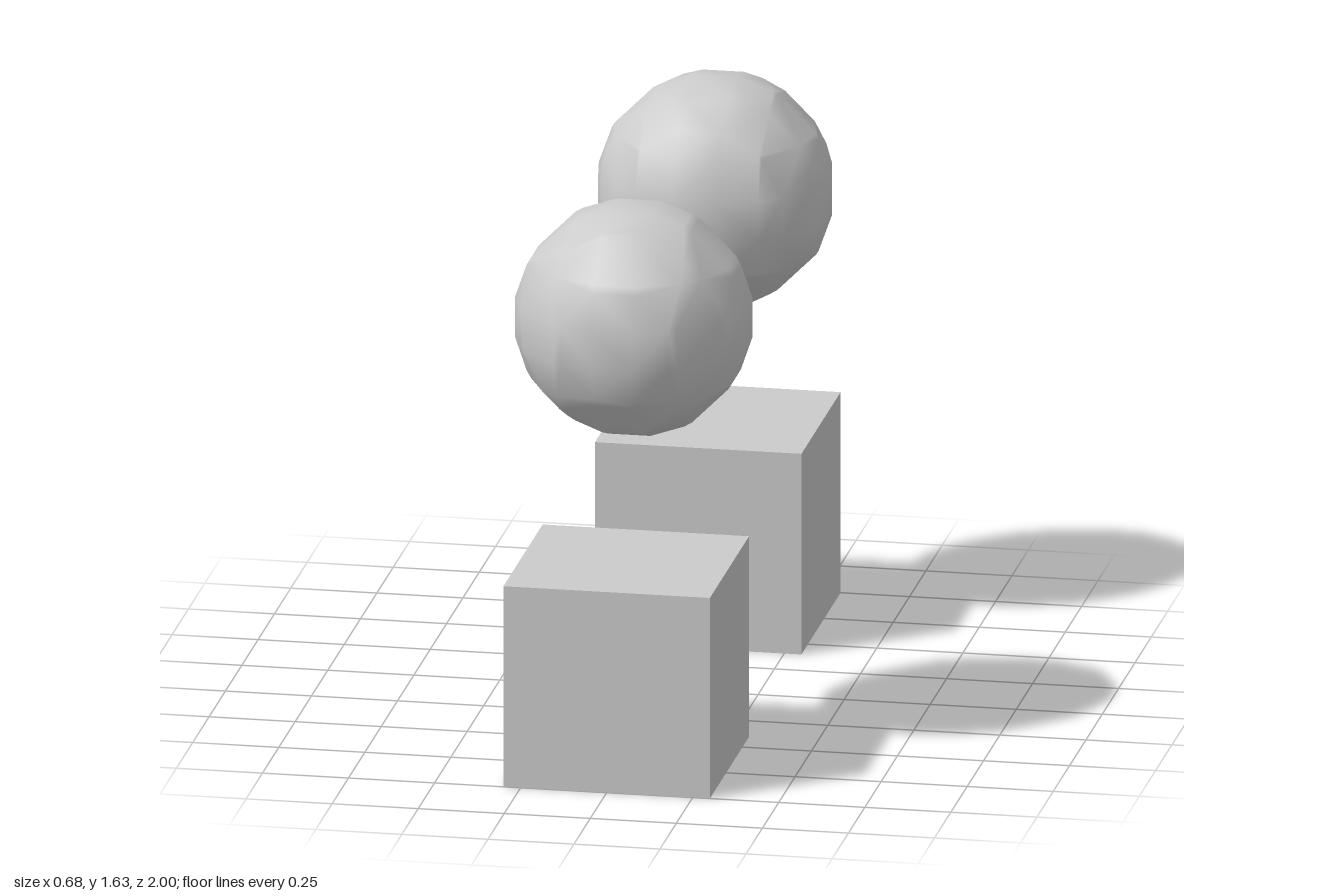
import * as THREE from 'three';
import { ConvexGeometry } from 'three/addons/geometries/ConvexGeometry.js';
import { mergeVertices } from 'three/addons/utils/BufferGeometryUtils.js';

const PITCH = 0.12;
const RADIUS = 0.344;

// Voxel-style ball: the hull of every point where the lines of a cubic grid
// cross a sphere. offset is the distance from the centre to a grid plane.
function gridBall(offset) {
  const points = [];
  const planes = offset.map((o) => {
    const list = [];
    for (let i = -4; i <= 4; i++) list.push(o + i * PITCH);
    return list;
  });
  for (let axis = 0; axis < 3; axis++) {
    const u = (axis + 1) % 3;
    const v = (axis + 2) % 3;
    for (const a of planes[u]) {
      for (const b of planes[v]) {
        const rest = RADIUS * RADIUS - a * a - b * b;
        if (rest <= 0) continue;
        for (const side of [-1, 1]) {
          const p = new THREE.Vector3();
          p.setComponent(axis, side * Math.sqrt(rest));
          p.setComponent(u, a);
          p.setComponent(v, b);
          points.push(p);
        }
      }
    }
  }
  const hull = new ConvexGeometry(points);
  hull.deleteAttribute('normal');
  const smooth = mergeVertices(hull, 1e-4);
  smooth.computeVertexNormals();
  return smooth;
}

export function createModel() {
  const model = new THREE.Group();
  const material = new THREE.MeshStandardMaterial({ color: 0xcccccc });

  const add = (name, geometry, y, z) => {
    const mesh = new THREE.Mesh(geometry, material);
    mesh.name = name;
    mesh.position.set(0, y, z);
    model.add(mesh);
  };

  // Two cube blocks on the ground
  const block = new THREE.BoxGeometry(0.6, 0.6, 0.6);
  add('frontBlock', block, 0.3, 0.7);
  add('backBlock', block, 0.3, -0.7);

  // Balls floating above; the back one sits half a grid step off along z
  const half = PITCH / 2;
  add('frontBall', gridBall([half, half, half]), 1.295, 0.586);
  add('backBall', gridBall([half, half, -0.003]), 1.295, -0.661);

  return model;
}
